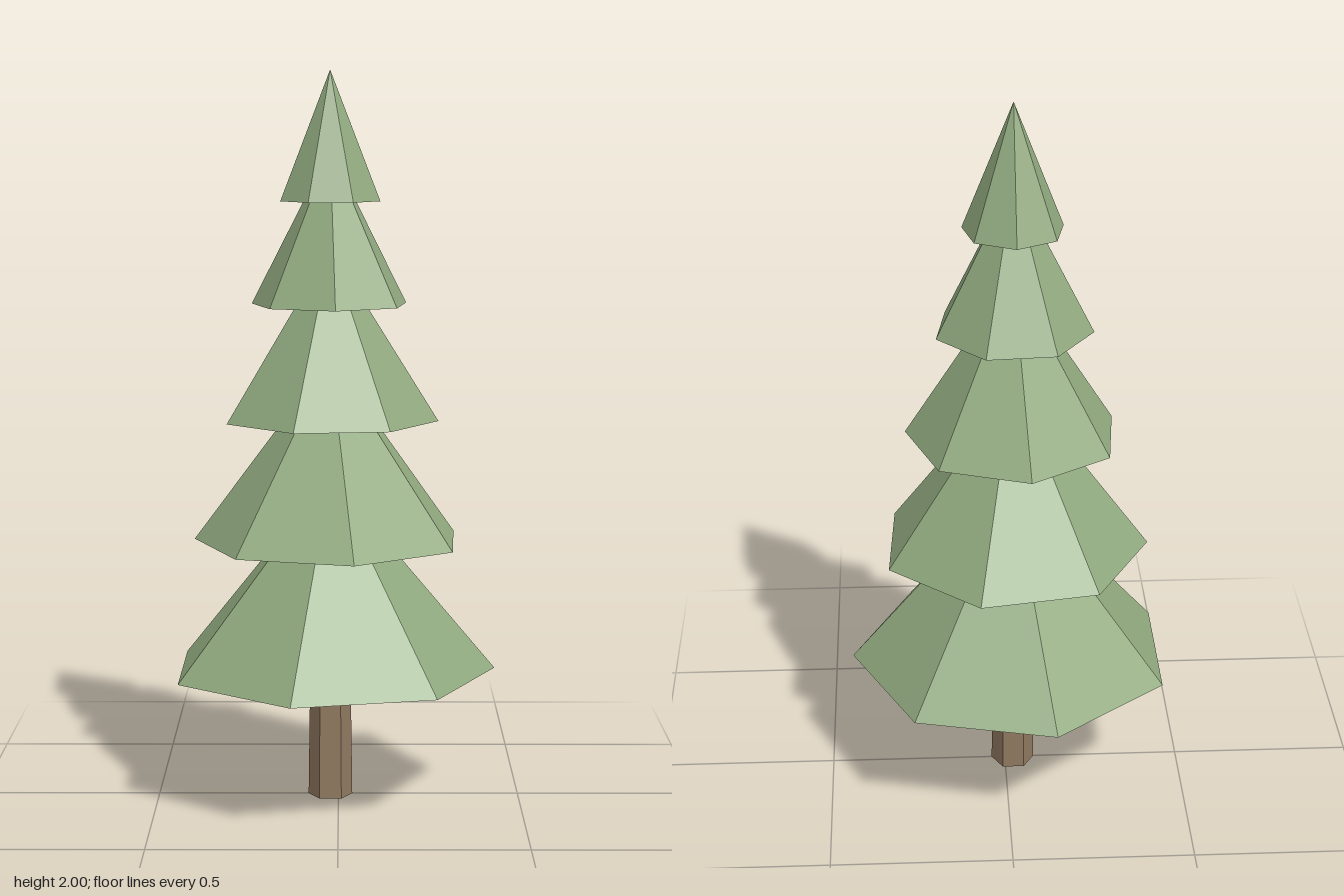
import * as THREE from 'three';

export function createModel() {
  const tree = new THREE.Group();
  tree.name = 'pineTree';
  const needles = new THREE.MeshStandardMaterial({ color: 0x91aa7f, flatShading: true });
  needles.name = 'needle green';
  const bark = new THREE.MeshStandardMaterial({ color: 0x917a61, flatShading: true });
  bark.name = 'bark brown';
  const axisX = -0.0225; // centres the seven-sided bottom tier

  // Six-sided, slightly tapered trunk with corners on the x axis
  const trunk = new THREE.Mesh(
    new THREE.CylinderGeometry(0.055, 0.061, 0.42, 6, 1, false, Math.PI / 2), bark);
  trunk.name = 'trunk';
  trunk.position.set(axisX, 0.21, 0);
  tree.add(trunk);

  // Foliage tiers: [base height, radius, cone height], each twisted half a radian further
  const tiers = [
    [0.36, 0.455, 0.54],
    [0.72, 0.375, 0.505],
    [1.055, 0.296, 0.47],
    [1.37, 0.217, 0.42],
    [1.65, 0.138, 0.35],
  ];
  tiers.forEach(([base, radius, height], i) => {
    const cone = new THREE.ConeGeometry(radius, height, 7, 1, false, Math.PI / 2 - i * 0.5);
    const tier = new THREE.Mesh(cone, needles);
    tier.name = `foliageTier${i + 1}`;
    tier.position.set(axisX, base + height / 2, 0);
    tree.add(tier);
  });

  return tree;
}
